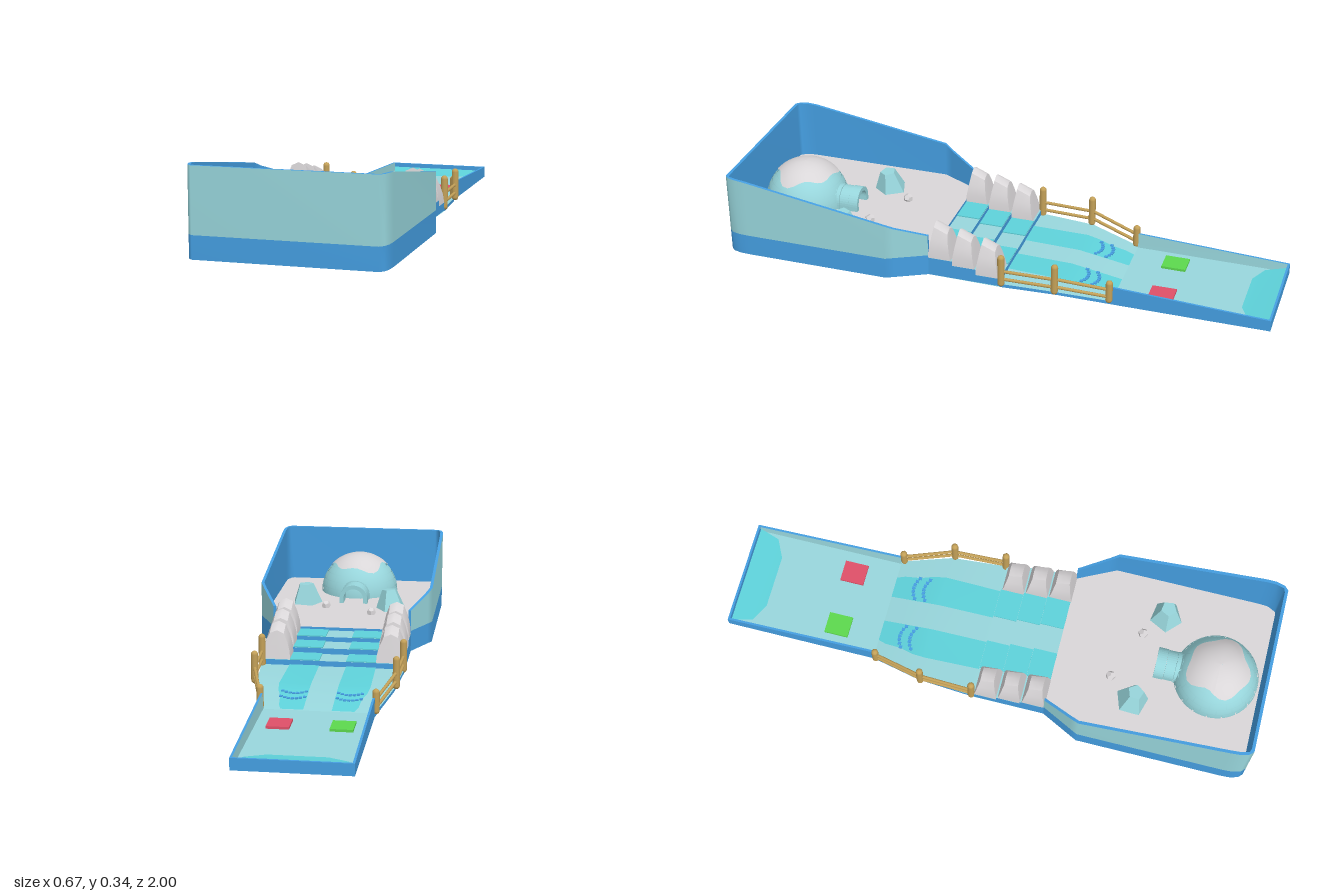
import * as THREE from 'three';

const mat = (name, color) => {
  const m = new THREE.MeshStandardMaterial({ color, side: THREE.DoubleSide });
  m.name = name;
  return m;
};

export function createModel() {
  const root = new THREE.Group();
  root.name = 'icePlayset';
  const ice = mat('paleIce', 0x98d6dc), blue = mat('blue', 0x459fe2), snow = mat('snow', 0xd9d6d8);
  const water = mat('water', 0x5ed2da), wood = mat('wood', 0xc4a158);
  const green = mat('green', 0x5cd84e), red = mat('red', 0xdf5068);

  const add = (name, geo, material, x = 0, y = 0, z = 0, parent = root) => {
    const m = new THREE.Mesh(geo, material);
    m.name = name;
    m.position.set(x, y, z);
    parent.add(m);
    return m;
  };

  // Strip of quads between two matching lists of points
  const ribbon = (name, material, a, b) => {
    const pos = [], idx = [];
    a.forEach((p, i) => {
      pos.push(...p, ...b[i]);
      const k = i * 2;
      if (i) idx.push(k - 2, k - 1, k, k, k - 1, k + 1);
    });
    const g = new THREE.BufferGeometry();
    g.setAttribute('position', new THREE.Float32BufferAttribute(pos, 3));
    g.setIndex(idx);
    g.computeVertexNormals();
    return add(name, g, material);
  };
  // Symmetric surface from rows of [z, halfWidth, y], front to back
  const sheet = (name, material, rows) => ribbon(name, material,
    rows.map(([z, w, y]) => [-w, y, z]), rows.map(([z, w, y]) => [w, y, z]));

  // Basin: U-shaped wall, open toward the steps; rows are [x, z, rim height]
  const half = [[0.265, 0.24, 0.2], [0.32, 0.35, 0.24], [0.335, 0.38, 0.255], [0.335, 0.92, 0.342],
    [0.333, 0.955, 0.345], [0.325, 0.985, 0.345], [0.31, 1, 0.345]];
  const mirror = h => [...h, ...h.slice().reverse().map(([x, z, y]) => [-x, z, y])];
  const outer = mirror(half);
  const inner = mirror(half.map(([x, z, y]) => [x - 0.011, Math.min(z, 0.989), y]));
  const at = (path, y) => path.map(p => [p[0], y ?? p[2], p[1]]);
  ribbon('basinLowerBand', blue, at(outer, 0.12), at(outer, 0.04));
  ribbon('basinOuterWall', ice, at(outer), at(outer, 0.12));
  ribbon('basinInnerWall', blue, at(inner, 0.11), at(inner));
  ribbon('basinRim', blue, at(inner), at(outer));
  for (const s of [1, -1]) {
    ribbon('basinWallEnd', blue, [[s * 0.254, 0.1, 0.24], [s * 0.254, 0.2, 0.24]],
      [[s * 0.265, 0.1, 0.24], [s * 0.265, 0.2, 0.24]]);
  }
  sheet('snowFloor', snow, [[0.99, 0.305, 0.122], [0.95, 0.325, 0.122], [0.38, 0.325, 0.122], [0.24, 0.255, 0.122]]);
  ribbon('basinFloorEdge', blue, [[-0.265, 0.122, 0.24], [0.265, 0.122, 0.24]],
    [[-0.265, 0.04, 0.24], [0.265, 0.04, 0.24]]);

  // Underside
  sheet('underside', ice, [[1, 0.31, 0.04], [0.955, 0.333, 0.04], [0.38, 0.335, 0.04], [0.24, 0.265, 0.04],
    [-0.03, 0.265, 0.037], [-0.24, 0.25, 0.034], [-0.43, 0.2, 0], [-1, 0.2, 0]].reverse());

  // Steps with water lanes and boulders on both sides
  [[0.195, 0.11], [0.105, 0.092], [0.015, 0.07]].forEach(([z, top]) => {
    add('step', new THREE.BoxGeometry(0.53, top - 0.04, 0.09), [blue, blue, ice, ice, blue, blue], 0, (top + 0.04) / 2, z);
    for (const s of [1, -1]) {
      add('stepWater', new THREE.BoxGeometry(0.11, 0.004, 0.088), water, s * 0.105, top + 0.002, z);
      const h = 0.118, g = new THREE.BoxGeometry(0.105, h, 0.088, 2, 3, 2), p = g.attributes.position;
      for (let i = 0; i < p.count; i++) {
        const t = p.getY(i) / h + 0.5, edge = Math.abs(p.getX(i)) > 0.01;
        const k = 1 - 0.5 * t * t;
        p.setXYZ(i, p.getX(i) * k, p.getY(i) + t * ((edge ? -0.012 : 0) + p.getZ(i) * 0.25), p.getZ(i) * (1 - 0.42 * t));
      }
      g.computeVertexNormals();
      add('boulder', g, snow, s * 0.212, top + h / 2 - 0.002, z + 0.005);
    }
  });

  // Sloping deck running into the flat trough
  const deckRows = [[-0.03, 0.265, 0.05], [-0.24, 0.25, 0.045], [-0.43, 0.2, 0.013]];
  sheet('slopeDeck', ice, deckRows);
  sheet('troughFloor', ice, [[-0.43, 0.2, 0.013], [-0.99, 0.195, 0.01]]);
  const deckY = z => z > -0.24 ? 0.05 + (z + 0.03) * 0.024 : Math.max(0.013, 0.045 + (z + 0.24) * 0.168);
  const base = [0.037, 0.034, 0];
  for (const s of [1, -1]) {
    ribbon('deckEdge', blue, deckRows.map(([z, w, y]) => [s * w, y, z]),
      deckRows.map(([z, w], i) => [s * w, base[i], z]));

    // Trough side walls
    const line = (x, y0, y1) => [[s * x, y0, -0.43], [s * x, y1, -1]];
    ribbon('troughOuterWall', blue, line(0.2, 0.07, 0.042), line(0.2, 0, 0));
    ribbon('troughRim', blue, line(0.2, 0.07, 0.042), line(0.192, 0.07, 0.042));
    ribbon('troughInnerWall', ice, line(0.192, 0.07, 0.042), line(0.19, 0.01, 0.01));

    // Water lane with foam dashes
    const lane = [[-0.03, 0.16], [-0.24, 0.165], [-0.29, 0.16], [-0.34, 0.145], [-0.4, 0.14], [-0.43, 0.13]];
    ribbon('waterLane', water, lane.map(([z]) => [s * 0.05, deckY(z) + 0.003, z]),
      lane.map(([z, w]) => [s * w, deckY(z) + 0.003, z]));
    for (const z0 of [-0.355, -0.315]) {
      for (let i = -3; i <= 3; i++) {
        const z = z0 + 0.0016 * i * i;
        add('foamDash', new THREE.BoxGeometry(0.011, 0.004, 0.012), blue, s * (0.1 + i * 0.014), deckY(z) + 0.005, z);
      }
    }

    // Fence: three posts and two rails
    const posts = [[0.262, 0.04, -0.035, 0.168], [0.255, 0.04, -0.232, 0.162], [0.203, 0.008, -0.42, 0.1]];
    posts.forEach(([x, y, z, top], i) => {
      const h = top - y;
      add('fencePost', new THREE.CapsuleGeometry(0.013, h - 0.026, 4, 10), wood, s * x, y + h / 2, z);
      if (!i) return;
      const q = posts[i - 1];
      for (const [y0, y1] of [[0.102, i === 1 ? 0.1 : 0.062], [0.07, i === 1 ? 0.068 : 0.032]]) {
        const path = new THREE.LineCurve3(new THREE.Vector3(s * q[0], y0, q[2]), new THREE.Vector3(s * x, y1, z));
        add('fenceRail', new THREE.TubeGeometry(path, 1, 0.006, 8), wood);
      }
    });
  }
  add('troughEndWall', new THREE.BoxGeometry(0.4, 0.042, 0.008), blue, 0, 0.021, -0.996);
  sheet('endPool', water, [[-0.88, 0.1, 0.014], [-0.915, 0.17, 0.016], [-0.99, 0.192, 0.026]]);

  // Start pads
  add('greenPad', new THREE.BoxGeometry(0.08, 0.009, 0.09), green, -0.11, 0.019, -0.592);
  add('redPad', new THREE.BoxGeometry(0.08, 0.009, 0.09), red, 0.107, 0.019, -0.592);

  // Snow house: dome of staggered blocks, snow cap and arched tunnel
  const house = new THREE.Group();
  house.name = 'snowHouse';
  house.position.set(0, 0.12, 0.825);
  root.add(house);
  add('domeCore', new THREE.SphereGeometry(0.151, 32, 10, 0, Math.PI * 2, 0, Math.PI / 2), ice, 0, 0, 0, house);
  const rows = 5, dTheta = 0.19;
  for (let r = 0; r < rows; r++) {
    const n = 18 - r * 2, step = Math.PI * 2 / n;
    for (let i = 0; i < n; i++) {
      const g = new THREE.SphereGeometry(0.156, 3, 2, (i + (r % 2) / 2) * step, step - 0.03,
        Math.PI / 2 - (r + 1) * dTheta, dTheta - 0.02);
      add('domeBlock', g, ice, 0, 0, 0, house);
    }
  }
  const cap = new THREE.SphereGeometry(0.159, 32, 6, 0, Math.PI * 2, 0, 0.78), cp = cap.attributes.position;
  for (let i = 0; i < cp.count; i++) {
    const v = new THREE.Vector3().fromBufferAttribute(cp, i), a = Math.atan2(v.z, v.x);
    const th = Math.acos(Math.min(1, v.y / 0.159)) * (1 + 0.1 * Math.sin(a * 5) + 0.08 * Math.sin(a * 3 + 1));
    cp.setXYZ(i, 0.159 * Math.sin(th) * Math.cos(a), 0.159 * Math.cos(th), 0.159 * Math.sin(th) * Math.sin(a));
  }
  cap.computeVertexNormals();
  add('snowCap', cap, snow, 0, 0, 0, house);
  for (let i = 0; i < 3; i++) {
    const R = 0.056 - (i % 2) * 0.002, r = 0.04, leg = 0.02, arch = new THREE.Shape();
    arch.moveTo(R, 0).lineTo(R, leg).absarc(0, leg, R, 0, Math.PI, false).lineTo(-R, 0);
    arch.lineTo(-r, 0).lineTo(-r, leg).absarc(0, leg, r, Math.PI, 0, true).lineTo(r, 0);
    add('tunnelArch', new THREE.ExtrudeGeometry(arch, { depth: 0.036, bevelEnabled: false, curveSegments: 10 }),
      ice, 0, 0, -0.225 + i * 0.037, house);
  }

  // Ice chunks and pebbles
  for (const [x, z, turn] of [[-0.155, 0.55, 0.3], [0.19, 0.6, 1.1]]) {
    const g = new THREE.CylinderGeometry(0.03, 0.063, 0.08, 5, 1).toNonIndexed();
    g.computeVertexNormals();
    add('iceChunk', g, ice, x, 0.158, z).rotation.set(0.12, turn, -0.1);
  }
  for (const [x, z] of [[-0.09, 0.45], [0.1, 0.53]]) {
    add('pebble', new THREE.DodecahedronGeometry(0.019), snow, x, 0.13, z);
  }
  return root;
}
